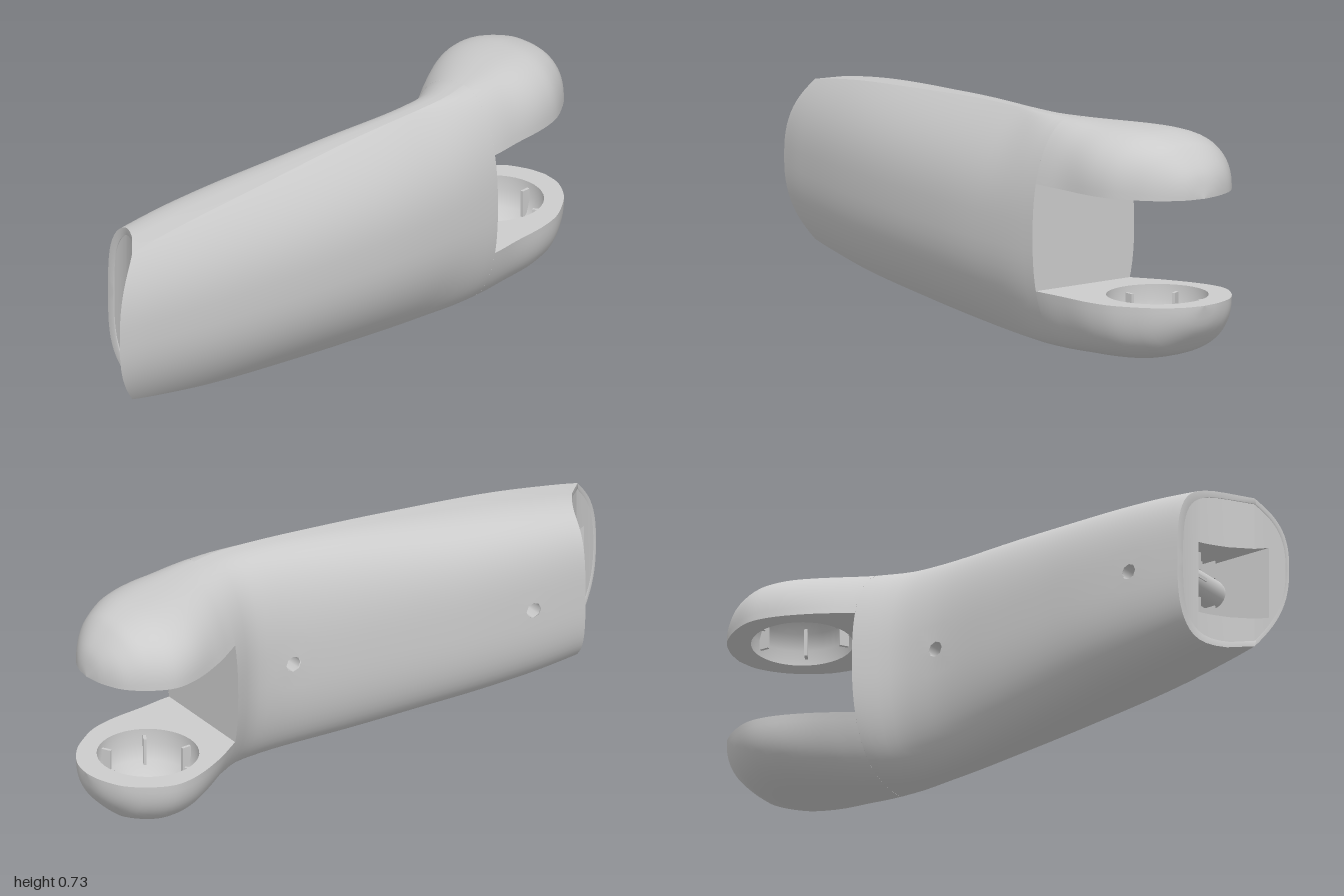
import * as THREE from 'three';

const MID = 0.368, SLOT = 0.17, BACK = -0.5, FLOOR = 0.68;
const mat = new THREE.MeshStandardMaterial({ color: 0xcccccc, side: THREE.DoubleSide });
const { lerp, smoothstep, clamp } = THREE.MathUtils;

// Smooth curve through [position, value] pairs
function curve(p) {
  const slope = i => {
    const a = p[Math.max(i - 1, 0)], b = p[Math.min(i + 1, p.length - 1)];
    return (b[1] - a[1]) / (b[0] - a[0]);
  };
  return v => {
    let i = 0;
    while (i < p.length - 2 && v > p[i + 1][0]) i++;
    const d = p[i + 1][0] - p[i][0], t = clamp((v - p[i][0]) / d, 0, 1);
    const t2 = t * t, t3 = t2 * t;
    return p[i][1] * (2 * t3 - 3 * t2 + 1) + p[i + 1][1] * (3 * t2 - 2 * t3)
      + d * (slope(i) * (t3 - 2 * t2 + t) + slope(i + 1) * (t3 - t2));
  };
}

// Outline along z: inner edge, outer edge, ridge line, half height, roundness
const inner = curve([[-1, -0.04], [-0.99, -0.1], [-0.95, -0.18], [-0.85, -0.25], [-0.77, -0.26], [-0.6, -0.205],
  [-0.5, -0.145], [-0.4, -0.08], [-0.3, -0.065], [-0.2, -0.07], [0, -0.105], [0.2, -0.14], [0.4, -0.172],
  [0.6, -0.19], [0.77, -0.195], [1, -0.195]]);
const outer = curve([[-1, -0.04], [-0.99, 0.02], [-0.95, 0.09], [-0.9, 0.14], [-0.8, 0.2], [-0.6, 0.236],
  [-0.5, 0.252], [-0.2, 0.254], [0, 0.245], [0.3, 0.215], [0.6, 0.17], [0.9, 0.11], [1, 0.085]]);
const ridge = curve([[-1, -0.04], [-0.8, 0], [-0.65, 0.05], [-0.5, 0.1], [-0.37, 0.12], [0, 0.1], [0.5, 0.075],
  [0.9, 0.04], [1, 0.035]]);
const height = curve([[-1, 0.17], [-0.99, 0.225], [-0.97, 0.265], [-0.93, 0.31], [-0.9, 0.333], [-0.8, 0.36],
  [-0.6, 0.366], [-0.3, 0.362], [0, 0.349], [0.3, 0.326], [0.6, 0.299], [0.8, 0.272], [0.9, 0.254], [1, 0.23]]);
const roundness = curve([[-1, 2.4], [-0.5, 2.4], [0, 2.6], [0.8, 3.3], [1, 3.3]]);
const frontZ = curve([[-0.2, 0.77], [-0.1, 0.79], [0, 0.855], [0.04, 0.9], [0.085, 1], [0.3, 1.5]]);

// Side surface x at height fraction q (side -1 inner, +1 outer)
function sideX(z, q, side) {
  const c = ridge(z), n = roundness(z), k = Math.pow(Math.max(0, 1 - Math.pow(q, n)), 1 / n);
  if (side < 0) return c + (inner(z) - c) * k;
  const w = outer(z) - c;
  return c + w * lerp(1 - Math.pow(q, 2.5), k, smoothstep(-z, 0.25, 0.6));
}

// Grid surface from fn(i, j) -> [x, y, z]
function grid(nu, nv, fn, flip = false, skip = () => false) {
  const pos = [], idx = [];
  for (let i = 0; i <= nu; i++) for (let j = 0; j <= nv; j++) pos.push(...fn(i, j));
  for (let i = 0; i < nu; i++) for (let j = 0; j < nv; j++) {
    if (skip(i, j)) continue;
    const a = i * (nv + 1) + j, b = a + nv + 1;
    idx.push(...(flip ? [a, a + 1, b, b, a + 1, b + 1] : [a, b, a + 1, b, b + 1, a + 1]));
  }
  const g = new THREE.BufferGeometry();
  g.setAttribute('position', new THREE.Float32BufferAttribute(pos, 3));
  g.setIndex(idx);
  g.computeVertexNormals();
  return g;
}

function add(parent, name, geo, x = 0, y = 0, z = 0) {
  const m = new THREE.Mesh(geo, mat);
  m.name = name;
  m.position.set(x, y, z);
  parent.add(m);
  return m;
}

const M = 16, ROWS = 40;
const step = j => Math.pow(Math.sin((Math.abs(j) / M) * Math.PI / 2), 0.9);

// Body point: t runs from the fork to the curved front end, j from bottom to top
function bodyPoint(t, j, side) {
  const s = step(j);
  let lo = -0.6, hi = 1.1;
  for (let k = 0; k < 40; k++) {
    const m = (lo + hi) / 2;
    if (m < BACK + t * (frontZ(sideX(m, s, side)) - BACK)) lo = m; else hi = m;
  }
  return [sideX(lo, s, side), Math.sign(j) * height(lo) * s, lo];
}

// Prong point: z along the prong, s from the slot edge to the crown
function prongPoint(z, s, side) {
  const h = SLOT + (height(z) - SLOT) * s;
  const x = lerp(sideX(z, h / height(z), side), sideX(z, s, side), smoothstep(-z, 0.5, 0.75));
  return [x, h, z];
}

function buildProng() {
  const g = new THREE.Group(), N = 28;
  const zAt = i => BACK - 0.5 * Math.sin((i / N) * Math.PI / 2);
  add(g, 'prongShell', grid(N, 2 * M, (i, j) => prongPoint(zAt(i), step(M - Math.abs(j - M)), j < M ? -1 : 1), true));

  // flat inner face with a round opening
  const pts = [];
  for (let i = 0; i <= N; i++) pts.push(prongPoint(zAt(i), 0, -1));
  for (let i = N - 1; i >= 0; i--) pts.push(prongPoint(zAt(i), 0, 1));
  const face = new THREE.Shape(pts.map(p => new THREE.Vector2(p[0], p[2])));
  const cx = -0.035, cz = -0.765, r = 0.16;
  face.holes.push(new THREE.Path().absarc(cx, cz, r, 0, Math.PI * 2, true));
  add(g, 'prongFace', new THREE.ShapeGeometry(face, 20).rotateX(Math.PI / 2), 0, SLOT, 0);

  // hollow socket with ribs
  const bowl = [[r, 0], [r, 0.05], [0.145, 0.1], [0.1, 0.14], [0, 0.155]].map(p => new THREE.Vector2(...p));
  add(g, 'socket', new THREE.LatheGeometry(bowl, 40), cx, SLOT, cz);
  for (let k = 0; k < 6; k++) {
    const a = (k + 0.5) * Math.PI / 3;
    const rib = add(g, 'socketRib', new THREE.BoxGeometry(0.03, 0.09, 0.01),
      cx + 0.143 * Math.cos(a), SLOT + 0.065, cz + 0.143 * Math.sin(a));
    rib.rotation.y = -a;
  }
  return g;
}

export function createModel() {
  const model = new THREE.Group();
  model.name = 'forkedArm';
  const arm = new THREE.Group();
  arm.name = 'arm';
  arm.position.y = MID;
  model.add(arm);

  // inner shell with two round screw holes
  const holes = [8, 34];
  const holeCentre = i0 => bodyPoint(i0 / ROWS, 0, -1);
  add(arm, 'innerShell', grid(ROWS, 2 * M, (i, jj) => {
    const j = jj - M, p = bodyPoint(i / ROWS, j, -1);
    for (const i0 of holes) {
      const di = i - i0;
      if (Math.abs(di) > 1 || Math.abs(j) > 1 || (!di && !j)) continue;
      const a = Math.atan2(j, di), z = holeCentre(i0)[2] + 0.026 * Math.cos(a), y = 0.026 * Math.sin(a);
      return [sideX(z, Math.abs(y) / height(z), -1), y, z];
    }
    return p;
  }, false, (i, j) => holes.some(h => (i === h || i === h - 1) && (j === M || j === M - 1))));
  for (const i0 of holes) {
    const c = holeCentre(i0);
    add(arm, 'screwHole', new THREE.CylinderGeometry(0.026, 0.026, 0.06, 8, 1, true).rotateX(Math.PI / 2)
      .rotateY(Math.PI / 2), c[0] + 0.032, 0, c[2]);
    add(arm, 'screwHoleFloor', new THREE.CircleGeometry(0.027, 16).rotateY(-Math.PI / 2), c[0] + 0.06, 0, c[2]);
  }
  add(arm, 'outerShell', grid(ROWS, 2 * M, (i, j) => bodyPoint(i / ROWS, j - M, 1), true));

  // slot wall between the prongs
  add(arm, 'slotWall', grid(1, 12, (i, j) => {
    const h = SLOT * (j / 6 - 1);
    return [sideX(BACK, Math.abs(h) / height(BACK), i ? 1 : -1), h, BACK];
  }, true));

  // mirrored prongs
  for (const s of [1, -1]) {
    const prong = buildProng();
    prong.name = s > 0 ? 'upperProng' : 'lowerProng';
    prong.scale.y = s;
    arm.add(prong);
  }

  // front rim and a slightly sunken end panel
  const half = [];
  for (let j = 0; j <= M; j++) half.push(bodyPoint(1, j, -1));
  for (let j = M - 1; j >= 0; j--) half.push(bodyPoint(1, j, 1));
  const inset = p => [0.06 + (p[0] - 0.06) * 0.9, p[1] * 0.925];
  const last = half.length - 1, SINK = 0.006;
  for (const s of [1, -1]) {
    add(arm, 'frontRim', grid(last, 2, (i, j) => {
      const [x, y] = j ? inset(half[i]) : half[i];
      return [x, s * y, frontZ(x) - (j > 1 ? SINK : 0)];
    }, s > 0));
  }
  const edge = half.map(inset);
  const top = x => {
    let i = 0;
    while (i < last - 1 && x > edge[i + 1][0]) i++;
    const [a, b] = [edge[i], edge[i + 1]];
    return lerp(a[1], b[1], clamp((x - a[0]) / (b[0] - a[0] || 1), 0, 1));
  };
  const X0 = -0.1, X1 = 0.062, Y0 = -0.158, Y1 = 0.082;
  const xs = [...edge.map(e => e[0]), X0, X1].sort((a, b) => a - b);
  const panelZ = x => frontZ(x) - SINK;
  const strip = (name, list, lo, hi) => add(arm, name, grid(list.length - 1, 1, (i, j) =>
    [list[i], (j ? hi : lo)(list[i]), panelZ(list[i])]));
  const middle = xs.filter(x => x >= X0 && x <= X1);
  strip('endPanel', xs.filter(x => x <= X0), x => -top(x), top);
  strip('endPanel', xs.filter(x => x >= X1), x => -top(x), top);
  strip('endPanel', middle, x => -top(x), () => Y0);
  strip('endPanel', middle, () => Y1, top);

  // window recess
  for (const y of [Y0, Y1]) add(arm, 'windowWall', grid(middle.length - 1, 1, (i, j) =>
    [middle[i], y, j ? FLOOR : panelZ(middle[i])], y === Y0));
  for (const x of [X0, X1]) add(arm, 'windowWall', grid(1, 1, (i, j) =>
    [x, i ? Y1 : Y0, j ? FLOOR : panelZ(x)], x === X1));
  add(arm, 'windowFloor', new THREE.PlaneGeometry(X1 - X0, Y1 - Y0), (X0 + X1) / 2, (Y0 + Y1) / 2, FLOOR);

  // pivot barrel, collar and brackets inside the window
  const axisY = -0.028;
  const barrel = (name, r, len, x) => add(arm, name,
    new THREE.CylinderGeometry(r, r, len, 32).rotateZ(Math.PI / 2), x, axisY, FLOOR + 0.05);
  barrel('pivotBarrel', 0.047, 0.15, -0.024);
  barrel('pivotCollar', 0.044, 0.018, 0.053);
  add(arm, 'barrelKey', new THREE.BoxGeometry(0.05, 0.012, 0.01), -0.073, axisY, FLOOR + 0.095);
  for (const s of [1, -1]) {
    add(arm, 'bracketPlate', new THREE.BoxGeometry(0.006, 0.06, 0.07), -0.04, axisY + s * 0.077, FLOOR + 0.035);
    add(arm, 'bracketPlate', new THREE.BoxGeometry(0.006, 0.06, 0.07), 0.04, axisY + s * 0.077, FLOOR + 0.035);
    add(arm, 'bracketStep', new THREE.BoxGeometry(0.05, 0.035, 0.04), -0.012, axisY + s * 0.085, FLOOR + 0.02);
  }
  return model;
}
